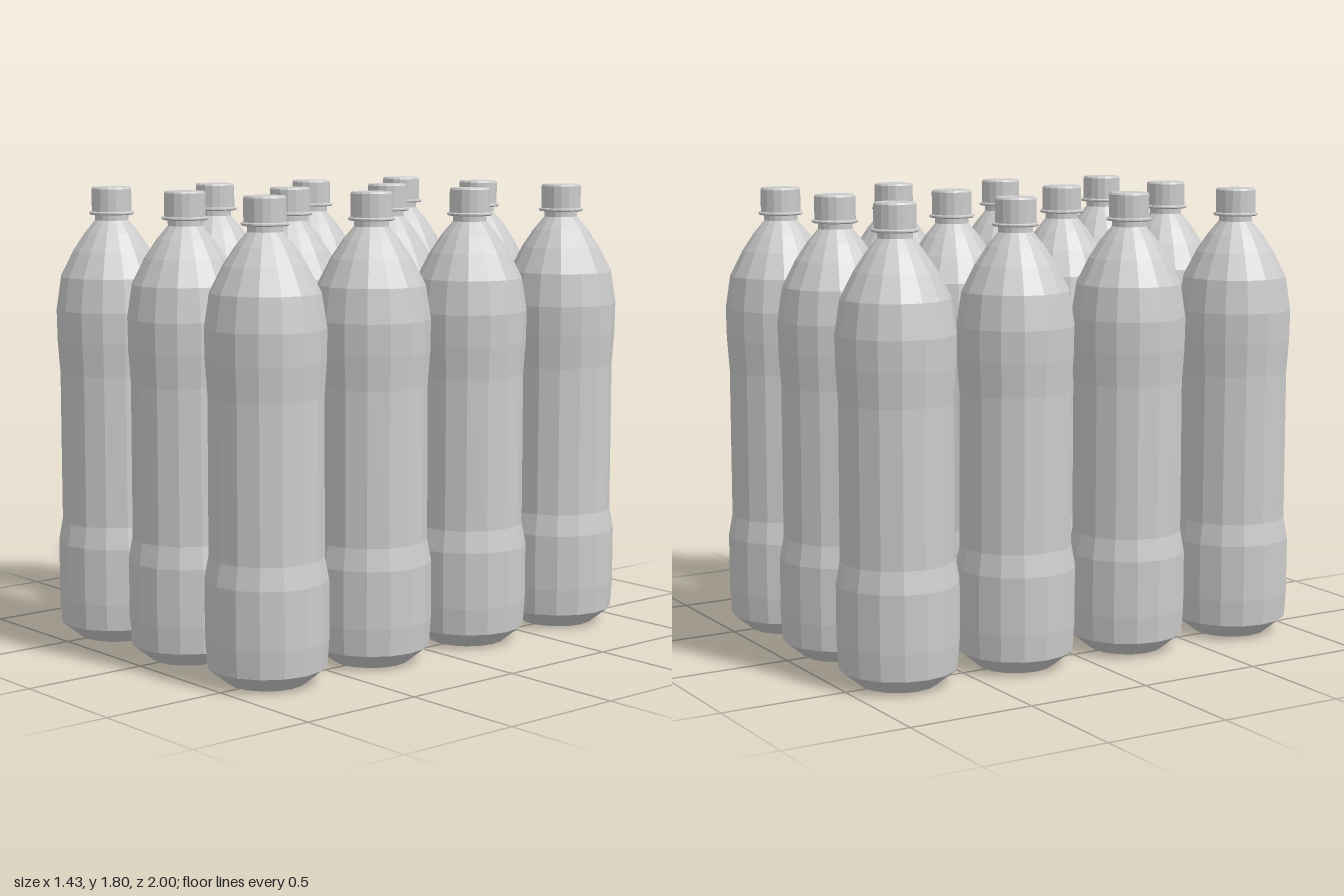
import * as THREE from 'three';

const SIDES = 16;
const material = new THREE.MeshStandardMaterial({ color: 0xcccccc, flatShading: true });

// Faceted solid of revolution from [radius, height] pairs, bottom to top
function lathe(name, profile) {
  const points = profile.map(([r, y]) => new THREE.Vector2(r, y));
  const mesh = new THREE.Mesh(new THREE.LatheGeometry(points, SIDES), material);
  mesh.name = name;
  return mesh;
}

function createBottle() {
  const bottle = new THREE.Group();

  // Body: chamfered base, narrow grip, domed shoulder and neck
  bottle.add(lathe('body', [
    [0, 0], [0.147, 0], [0.225, 0.063], [0.232, 0.167], [0.232, 0.39],
    [0.216, 0.475], [0.215, 1.07], [0.224, 1.2], [0.226, 1.32],
    [0.206, 1.45], [0.155, 1.55], [0.108, 1.62], [0.066, 1.67], [0.066, 1.72], [0, 1.72],
  ]));

  // Thin tamper ring under the cap
  bottle.add(lathe('neckRing', [
    [0, 1.692], [0.084, 1.692], [0.089, 1.696], [0.089, 1.701], [0.084, 1.705], [0, 1.705],
  ]));

  // Screw cap with a slightly bevelled top edge
  bottle.add(lathe('cap', [
    [0, 1.704], [0.079, 1.704], [0.079, 1.793], [0.074, 1.8], [0, 1.8],
  ]));
  return bottle;
}

export function createModel() {
  const model = new THREE.Group();
  model.name = 'bottlePack';
  const columns = 3, rows = 4, stepX = 0.484, stepZ = 0.512;
  const prototype = createBottle();

  // Grid of identical bottles
  for (let row = 0; row < rows; row++) {
    for (let col = 0; col < columns; col++) {
      const bottle = prototype.clone();
      bottle.name = `bottle${row * columns + col + 1}`;
      bottle.position.set((col - (columns - 1) / 2) * stepX, 0, (row - (rows - 1) / 2) * stepZ);
      model.add(bottle);
    }
  }
  return model;
}
